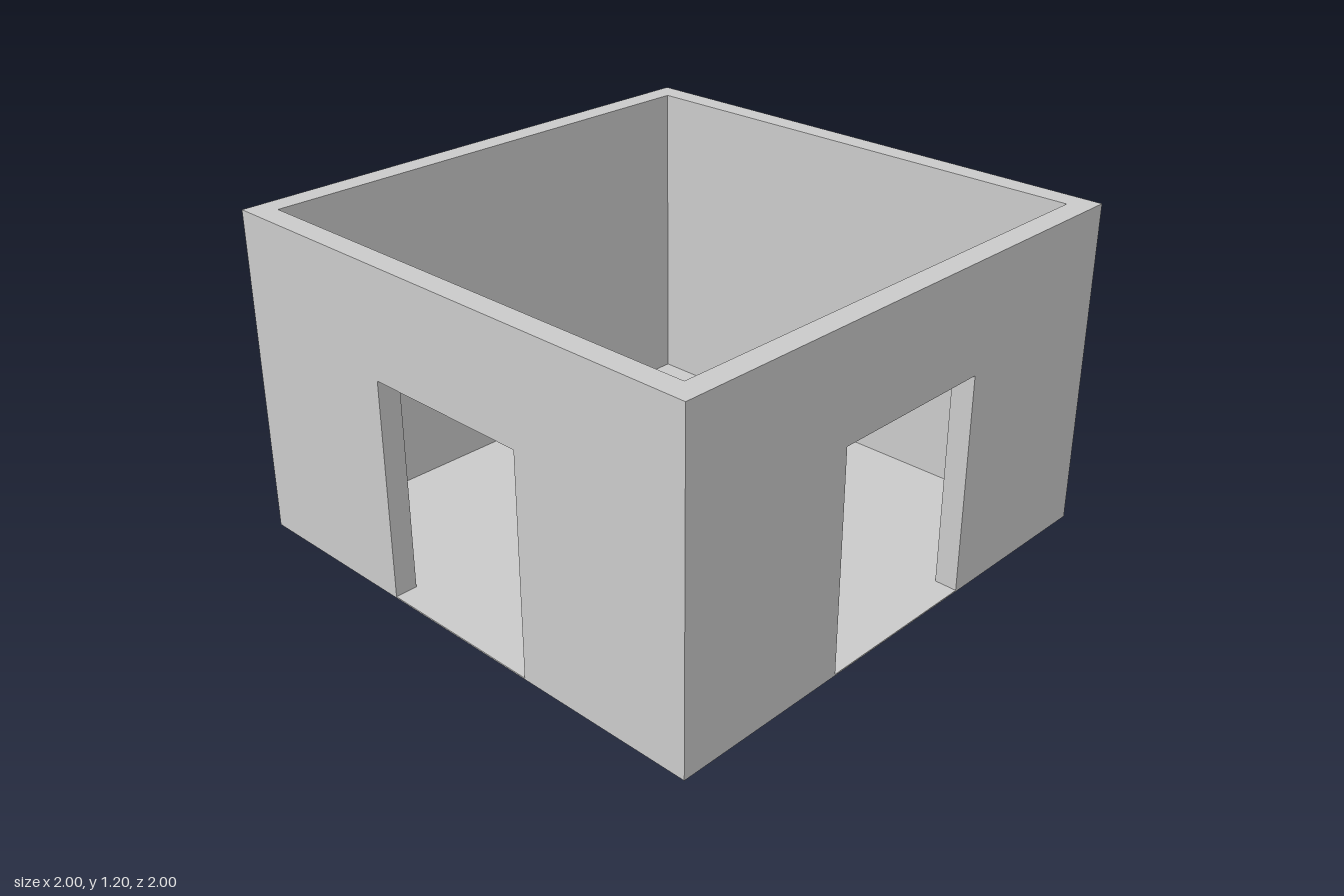
import * as THREE from 'three';

const HALF = 1, HEIGHT = 1.2, THICK = 0.083, SLAB = 0.005;
const DOOR_HALF = 0.322, DOOR_TOP = 0.806;

// Wall facing +z with mitred ends, optionally notched by a doorway
function wallGeometry(hasDoor) {
  const outline = [[-HALF, SLAB]];
  if (hasDoor) {
    outline.push([-DOOR_HALF, SLAB], [-DOOR_HALF, DOOR_TOP], [DOOR_HALF, DOOR_TOP], [DOOR_HALF, SLAB]);
  }
  outline.push([HALF, SLAB], [HALF, HEIGHT], [-HALF, HEIGHT]);
  const shape = new THREE.Shape(outline.map(([x, y]) => new THREE.Vector2(x, y)));
  const geometry = new THREE.ExtrudeGeometry(shape, { depth: THICK, bevelEnabled: false });
  geometry.translate(0, 0, HALF - THICK);

  // Pull the inner corners in so that neighbouring walls meet on the diagonal
  const p = geometry.attributes.position;
  for (let i = 0; i < p.count; i++) {
    if (Math.abs(p.getX(i)) > HALF - 0.001) p.setX(i, Math.sign(p.getX(i)) * p.getZ(i));
  }
  geometry.computeVertexNormals();
  return geometry;
}

export function createModel() {
  const model = new THREE.Group();
  model.name = 'rooflessRoom';
  const material = new THREE.MeshStandardMaterial({ color: 0xcccccc });

  // Thin floor slab under the whole room
  const floor = new THREE.Mesh(new THREE.BoxGeometry(2 * HALF, SLAB, 2 * HALF), material);
  floor.name = 'floor';
  floor.position.y = SLAB / 2;
  model.add(floor);

  // Four walls, with doorways in the front and on the -x side
  const walls = [
    ['frontWall', 0, true],
    ['leftWall', Math.PI / 2, false],
    ['backWall', Math.PI, false],
    ['rightWall', -Math.PI / 2, true],
  ];
  for (const [name, angle, hasDoor] of walls) {
    const wall = new THREE.Mesh(wallGeometry(hasDoor), material);
    wall.name = name;
    wall.rotation.y = angle;
    model.add(wall);
  }
  return model;
}
